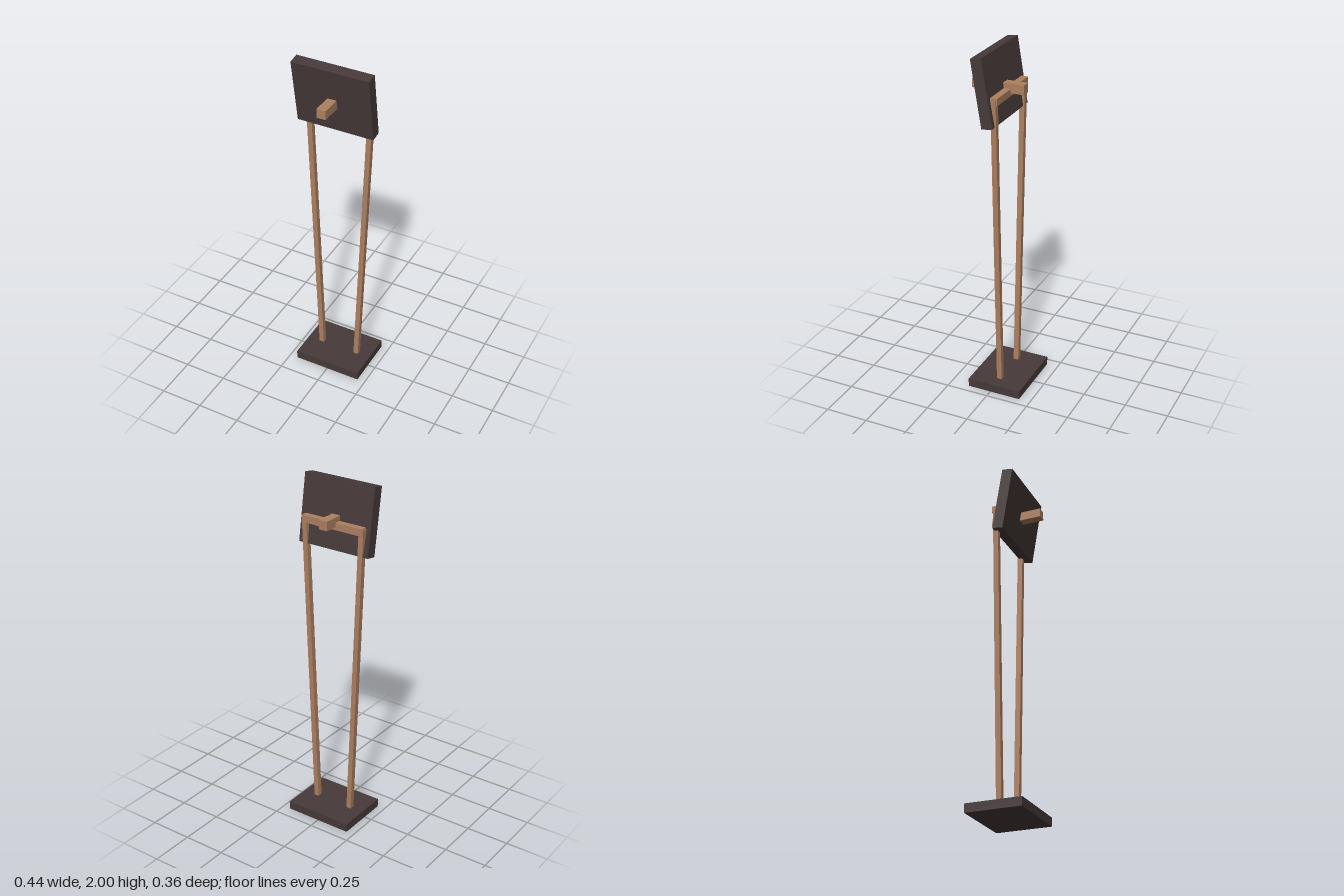
import * as THREE from 'three';

export function createModel() {
  const group = new THREE.Group();
  const wood = new THREE.MeshStandardMaterial({ color: 0xad8060 });
  wood.name = 'light wood';
  const dark = new THREE.MeshStandardMaterial({ color: 0x463a39 });
  dark.name = 'dark brown';

  const addBox = (name, material, size, position) => {
    const mesh = new THREE.Mesh(new THREE.BoxGeometry(...size), material);
    mesh.name = name;
    mesh.position.set(...position);
    group.add(mesh);
    return mesh;
  };

  // Base plate, set slightly back
  addBox('base', dark, [0.406, 0.05, 0.32], [0, 0.025, -0.022]);

  // Two slim legs splaying outward towards the top
  const bottom = { x: 0.114, y: 0.03 };
  const top = { x: 0.183, y: 1.78 };
  const dx = top.x - bottom.x;
  const dy = top.y - bottom.y;
  for (const side of [-1, 1]) {
    const leg = addBox(
      side > 0 ? 'leftLeg' : 'rightLeg', wood,
      [0.029, Math.hypot(dx, dy), 0.03],
      [side * (bottom.x + top.x) / 2, (bottom.y + top.y) / 2, -0.023],
    );
    leg.rotation.z = -side * Math.atan2(dx, dy);
  }

  // Crossbar joining the leg tops
  addBox('crossbar', wood, [0.386, 0.04, 0.039], [0, 1.767, -0.0245]);

  // Peg running through the panel from back to front
  addBox('peg', wood, [0.052, 0.052, 0.299], [0, 1.79, 0.031]);

  // Square panel leaning forward at the top
  const panel = addBox('panel', dark, [0.444, 0.377, 0.063], [0, 1.809, 0.031]);
  panel.rotation.x = THREE.MathUtils.degToRad(9.3);

  return group;
}
